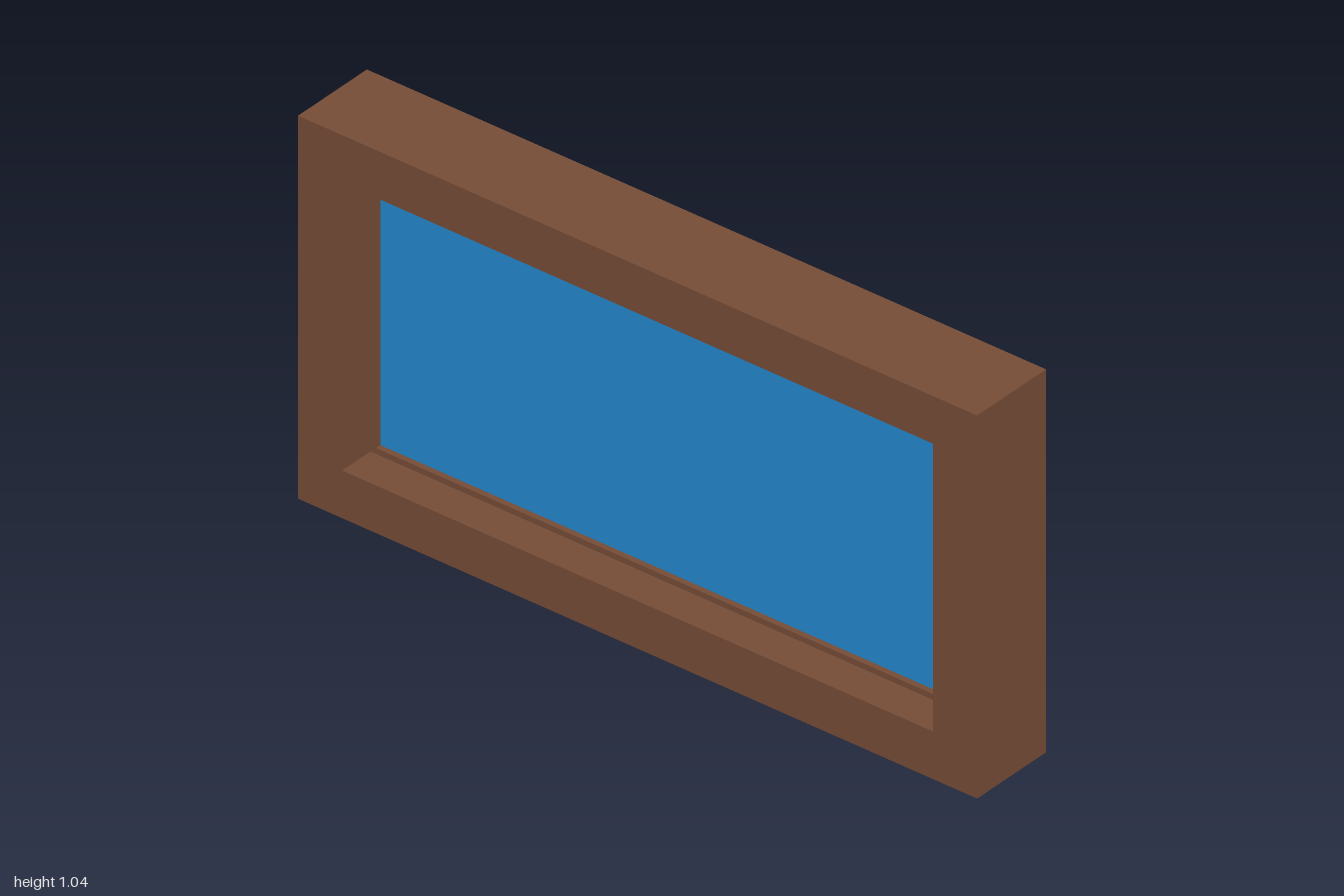
import * as THREE from 'three';

const wood = new THREE.MeshStandardMaterial({ color: 0x774d38 });
wood.name = 'brown wood';
const glass = new THREE.MeshStandardMaterial({ color: 0x2388cf });
glass.name = 'blue glass';

const HEIGHT = 1.045;

// Rectangle centred on the window, as a counter-clockwise outline
function rectangle(Type, w, h) {
  const path = new Type();
  path.moveTo(-w / 2, -h / 2);
  path.lineTo(w / 2, -h / 2);
  path.lineTo(w / 2, h / 2);
  path.lineTo(-w / 2, h / 2);
  path.closePath();
  return path;
}

// Rectangular ring of the given depth, centred on z = 0
function ring(name, w, h, border, depth) {
  const shape = rectangle(THREE.Shape, w, h);
  shape.holes.push(rectangle(THREE.Path, w - 2 * border, h - 2 * border));
  const geometry = new THREE.ExtrudeGeometry(shape, { depth, bevelEnabled: false });
  geometry.translate(0, HEIGHT / 2, -depth / 2);
  const mesh = new THREE.Mesh(geometry, wood);
  mesh.name = name;
  return mesh;
}

export function createModel() {
  const model = new THREE.Group();
  model.name = 'window';

  // Deep outer frame and the thin bead that holds the glass
  model.add(ring('outerFrame', 2, HEIGHT, 0.13, 0.25));
  model.add(ring('glazingBead', 1.74, HEIGHT - 0.26, 0.016, 0.044));

  // Glass pane in the middle of the frame
  const pane = new THREE.Mesh(new THREE.BoxGeometry(1.708, HEIGHT - 0.292, 0.012), glass);
  pane.name = 'glassPane';
  pane.position.y = HEIGHT / 2;
  model.add(pane);

  return model;
}
